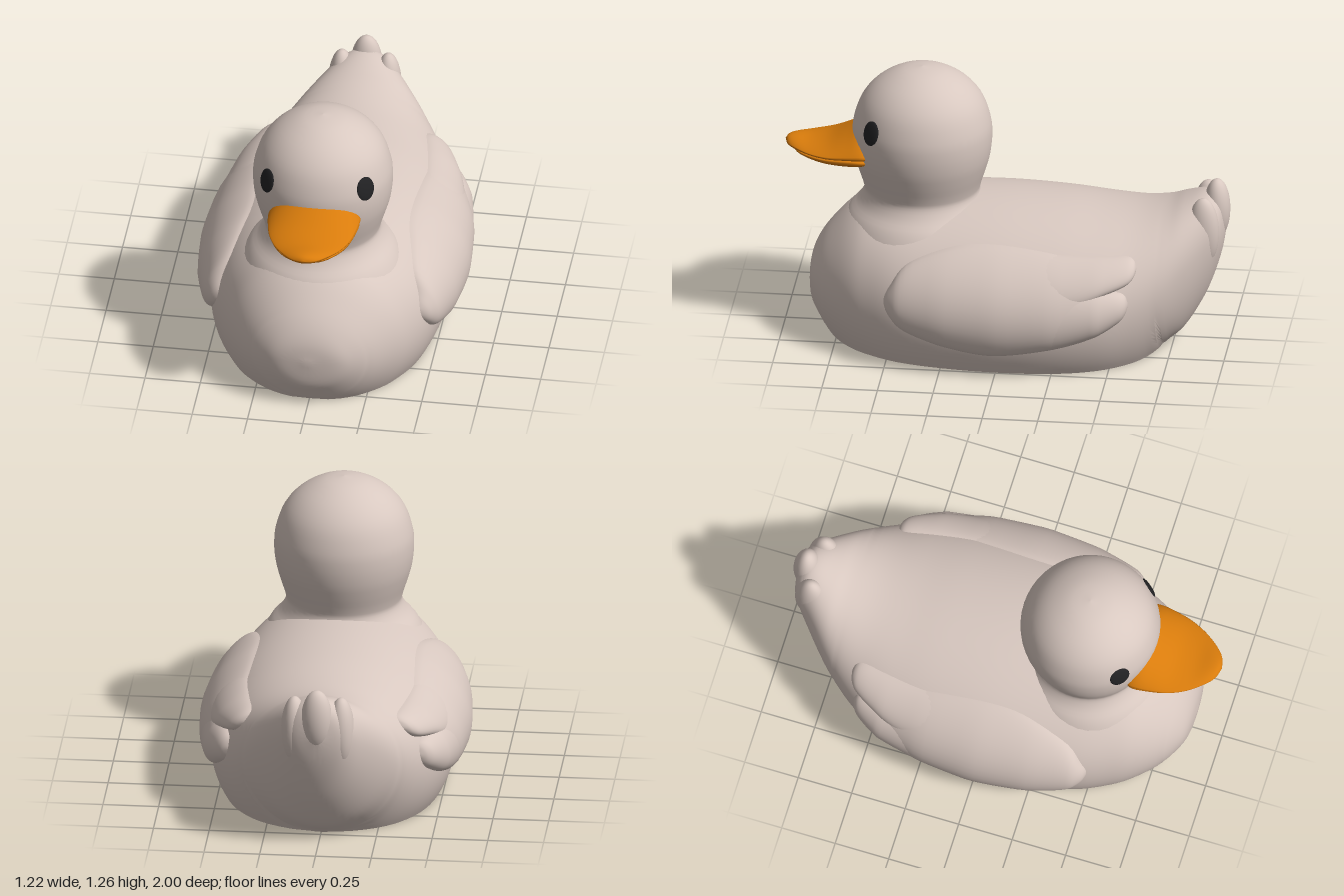
import * as THREE from 'three';
import { mergeVertices, toCreasedNormals } from 'three/addons/utils/BufferGeometryUtils.js';

const plumage = new THREE.MeshStandardMaterial({ color: 0xd8c8c0, side: THREE.DoubleSide });
plumage.name = 'plumage';
const orange = new THREE.MeshStandardMaterial({ color: 0xd97c0c });
orange.name = 'beakOrange';
const black = new THREE.MeshStandardMaterial({ color: 0x222224 });
black.name = 'eyeBlack';

// Surface over a grid: u runs from front to back, v around the section
function grid(nu, nv, point) {
  const pos = [], index = [], row = nv + 1;
  for (let i = 0; i <= nu; i++) for (let j = 0; j <= nv; j++) pos.push(...point(i / nu, j / nv));
  for (let i = 0; i < nu; i++) for (let j = 0; j < nv; j++) {
    const a = i * row + j, b = a + row;
    index.push(a, b, a + 1, b, b + 1, a + 1);
  }
  const geo = new THREE.BufferGeometry();
  geo.setAttribute('position', new THREE.Float32BufferAttribute(pos, 3));
  geo.setIndex(index);
  const merged = mergeVertices(geo, 1e-5);
  merged.computeVertexNormals();
  return merged;
}

// Smooth sampler through stations of up to six values
function sampler(stations) {
  const curve = k => new THREE.CatmullRomCurve3(
    stations.map(s => new THREE.Vector3(s[k] || 0, s[k + 1] || 0, s[k + 2] || 0)), false, 'catmullrom');
  const a = curve(0), b = curve(3);
  return t => [...a.getPoint(t).toArray(), ...b.getPoint(t).toArray()];
}

// Closed loft from front to back, cut flat at y = 0;
// stations are [z, top, bottom, widest height, half width]
function loft(stations, nu, nv, power = 1) {
  const at = sampler(stations);
  return grid(nu, nv, (u, v) => {
    const [z, top, bottom, mid, w] = at(u);
    if (v === 0 || v === 1) return [0, Math.max(0, bottom), z];
    const start = bottom < 0 ? Math.asin(-mid / (mid - bottom)) : -Math.PI / 2;
    const t = (v * nv - 1) / (nv - 2);
    const a = start + t * (Math.PI - 2 * start), s = Math.sin(a);
    const y = s > 0 ? mid + (top - mid) * s ** power : mid + (mid - bottom) * s;
    return [Math.max(0, w) * Math.cos(a), y, z];
  });
}

const bodyStations = [
  [0.888, 0.25, 0.25, 0.25, 0], [0.875, 0.34, 0.13, 0.25, 0.13], [0.84, 0.42, 0.06, 0.24, 0.21],
  [0.78, 0.50, -0.03, 0.23, 0.29], [0.69, 0.59, -0.12, 0.23, 0.37], [0.6, 0.64, -0.18, 0.22, 0.425],
  [0.45, 0.66, -0.24, 0.22, 0.49], [0.25, 0.668, -0.27, 0.22, 0.53], [0, 0.67, -0.28, 0.22, 0.55],
  [-0.25, 0.66, -0.26, 0.22, 0.54], [-0.45, 0.645, -0.21, 0.24, 0.50], [-0.6, 0.645, -0.13, 0.28, 0.43],
  [-0.72, 0.665, 0, 0.35, 0.35], [-0.8, 0.695, 0.07, 0.42, 0.28], [-0.88, 0.72, 0.20, 0.49, 0.2],
  [-0.93, 0.715, 0.32, 0.54, 0.15], [-0.965, 0.67, 0.44, 0.56, 0.1], [-0.985, 0.56, 0.56, 0.56, 0],
];

// Half width of the body at a given height and depth
function bodyX(y, z) {
  let i = 0;
  while (i < bodyStations.length - 2 && bodyStations[i + 1][0] > z) i++;
  const p = bodyStations[i], q = bodyStations[i + 1], t = (z - p[0]) / (q[0] - p[0]);
  const [, top, bottom, mid, w] = p.map((n, k) => n + (q[k] - n) * t);
  const s = (y - mid) / (y > mid ? top - mid : mid - bottom);
  return w * Math.sqrt(Math.max(0, 1 - s * s));
}

// Bulge that hugs the body side; stations are [z, top, bottom]
function feather(stations, thickness) {
  const at = sampler(stations);
  return grid(36, 20, (u, v) => {
    const [z, top, bottom] = at(u);
    const y = bottom + (top - bottom) * (0.5 - 0.5 * Math.cos(Math.PI * v));
    const bulge = Math.max(0, Math.sin(Math.PI * v)) ** 0.6 * Math.max(0, Math.sin(Math.PI * u)) ** 0.5;
    return [bodyX(y, z) - 0.015 + (thickness + 0.015) * bulge, y, z];
  });
}

function add(parent, name, geo, material) {
  const mesh = new THREE.Mesh(geo, material);
  mesh.name = name;
  parent.add(mesh);
  return mesh;
}

// Rounded tail tip
function tailTip(parent, name, position, scale) {
  const tip = add(parent, name, new THREE.SphereGeometry(1, 24, 18), plumage);
  tip.position.set(...position);
  tip.scale.set(...scale);
}

export function createModel() {
  const duck = new THREE.Group();
  duck.name = 'duck';

  // Body with flat base and raised tail
  add(duck, 'body', toCreasedNormals(loft(bodyStations, 85, 64), 0.7), plumage);

  // Head and neck
  const profile = new THREE.SplineCurve([
    [0.27, 0.4], [0.36, 0.48], [0.335, 0.56], [0.285, 0.62], [0.26, 0.67], [0.265, 0.71], [0.287, 0.78],
    [0.305, 0.85], [0.313, 0.93], [0.306, 1.01], [0.27, 1.11], [0.2, 1.19], [0.1, 1.245], [0, 1.262],
  ].map(p => new THREE.Vector2(...p)));
  const points = profile.getPoints(48);
  points[48].x = 0;
  add(duck, 'headAndNeck', new THREE.LatheGeometry(points, 48), plumage).position.z = 0.385;

  // Beak halves
  const beak = new THREE.Group();
  beak.name = 'beak';
  duck.add(beak);
  add(beak, 'upperBeak', loft([
    [1, 0.878, 0.878, 0.878, 0], [0.985, 0.895, 0.86, 0.876, 0.05], [0.95, 0.9, 0.85, 0.874, 0.092],
    [0.88, 0.897, 0.845, 0.868, 0.145], [0.8, 0.912, 0.84, 0.868, 0.182], [0.72, 0.95, 0.84, 0.875, 0.2],
    [0.66, 0.983, 0.84, 0.88, 0.207], [0.62, 0.985, 0.84, 0.88, 0.202], [0.59, 0.98, 0.85, 0.88, 0.17],
  ], 32, 34, 1.6), orange);
  add(beak, 'lowerBeak', loft([
    [0.97, 0.855, 0.855, 0.855, 0], [0.94, 0.865, 0.835, 0.853, 0.08], [0.88, 0.865, 0.82, 0.85, 0.135],
    [0.8, 0.87, 0.805, 0.85, 0.175], [0.7, 0.88, 0.8, 0.855, 0.198], [0.63, 0.88, 0.81, 0.855, 0.2],
    [0.59, 0.87, 0.83, 0.85, 0.16],
  ], 24, 34), orange);

  // Wing: main bulge plus two feather tips
  const wingParts = {
    wingMain: [[[0.51, 0.32, 0.30], [0.48, 0.38, 0.245], [0.4, 0.48, 0.18], [0.2, 0.552, 0.122], [0, 0.565, 0.1],
      [-0.25, 0.54, 0.14], [-0.42, 0.5, 0.2], [-0.5, 0.43, 0.31]], 0.065],
    upperFeather: [[[0.15, 0.53, 0.42], [0, 0.55, 0.36], [-0.3, 0.535, 0.33], [-0.48, 0.53, 0.385],
      [-0.57, 0.525, 0.415], [-0.605, 0.51, 0.44], [-0.62, 0.48, 0.475]], 0.055],
    lowerFeather: [[[0.1, 0.36, 0.16], [-0.1, 0.4, 0.12], [-0.3, 0.42, 0.15], [-0.45, 0.41, 0.2],
      [-0.54, 0.395, 0.25], [-0.575, 0.375, 0.285], [-0.59, 0.335, 0.33]], 0.055],
  };

  for (const side of [1, -1]) {
    const wing = new THREE.Group();
    wing.name = side > 0 ? 'leftWing' : 'rightWing';
    wing.scale.x = side;
    duck.add(wing);
    for (const [name, [stations, thickness]] of Object.entries(wingParts))
      add(wing, name, feather(stations, thickness), plumage);

    // Eye, lying on the head surface
    const eye = add(duck, side > 0 ? 'leftEye' : 'rightEye', new THREE.SphereGeometry(1, 28, 16), black);
    const out = new THREE.Vector3(side * 0.222, 0.078, 0.205).normalize();
    eye.position.set(0, 0.94, 0.385).addScaledVector(out, 0.312);
    eye.lookAt(eye.position.clone().add(out));
    eye.scale.set(0.047, 0.056, 0.01);

    tailTip(duck, side > 0 ? 'leftTailFeather' : 'rightTailFeather',
      [side * 0.105, 0.56, -0.89], [0.06, 0.165, 0.072]);
  }
  tailTip(duck, 'middleTailFeather', [0, 0.635, -0.94], [0.07, 0.143, 0.06]);

  return duck;
}
